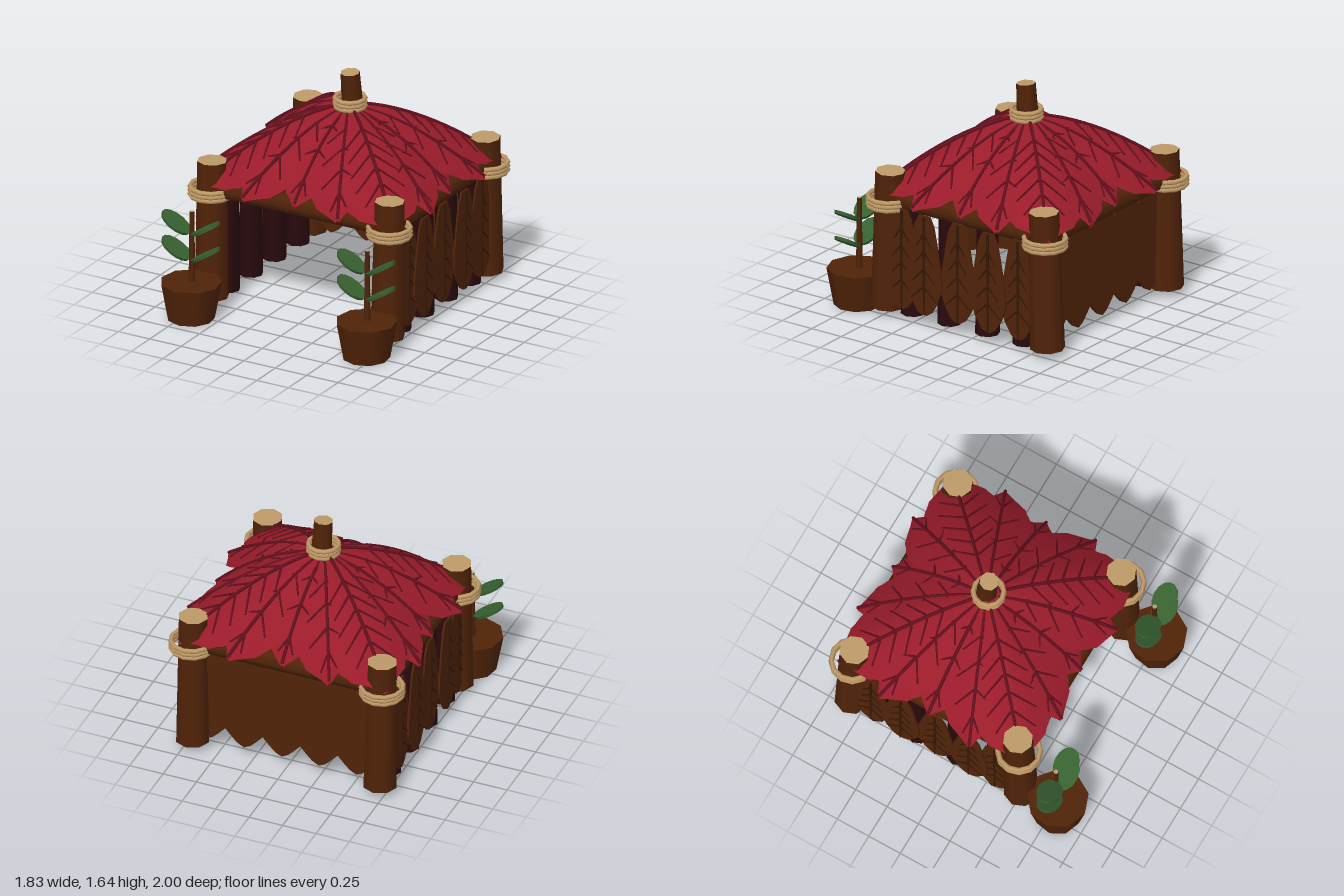
import * as THREE from 'three';

const mat = (name, color, side = THREE.FrontSide) => {
  const m = new THREE.MeshStandardMaterial({ color, side });
  m.name = name;
  return m;
};

export function createModel() {
  const brown = mat('brown wood', 0x502308);
  const dark = mat('dark wood', 0x28090c);
  const tan = mat('cut wood', 0xbd9a68);
  const rope = mat('rope', 0xc09a66);
  const red = mat('red leaf', 0x991b2a, THREE.DoubleSide);
  const redVein = mat('dark red vein', 0x620f1c);
  const brownVein = mat('brown vein', 0x371905);
  const green = mat('green leaf', 0x376030);

  const root = new THREE.Group();
  root.name = 'leafRoofHut';
  const CZ = -0.18; // depth of the hut's centre
  const V = (x, y, z) => new THREE.Vector3(x, y, z);

  const add = (name, geo, material, parent = root) => {
    const m = new THREE.Mesh(geo, material);
    m.name = name;
    parent.add(m);
    return m;
  };

  // tapered pole from a to b
  const pole = (name, a, b, r0, r1, material, sides = 8, parent = root) => {
    const d = b.clone().sub(a);
    const m = add(name, new THREE.CylinderGeometry(r1, r0, d.length(), sides), material, parent);
    m.position.copy(a).addScaledVector(d, 0.5);
    m.quaternion.setFromUnitVectors(V(0, 1, 0), d.normalize());
    return m;
  };

  // three stacked rope rings
  const binding = (name, x, y, z, R) => {
    const g = new THREE.Group();
    g.name = name;
    root.add(g);
    for (let i = -1; i <= 1; i++) {
      const m = add('ropeRing', new THREE.TorusGeometry(R, 0.017, 6, 12), rope, g);
      m.rotation.x = Math.PI / 2;
      m.position.set(x, y + i * 0.028, z);
    }
  };

  // corner posts with ropes
  const logMats = [brown, tan, tan];
  for (const x of [-0.7, 0.7]) {
    for (const [zb, zt] of [[0.495, 0.475], [-0.85, -0.825]]) {
      pole('cornerPost', V(x, 0.055, zb), V(x * 1.01, 1.06, zt), 0.122, 0.106, logMats);
      binding('postRope', x * 1.015, 0.842, (zb + zt) / 2, 0.147);
    }
    pole('sideBeam', V(x, 0.872, 0.47), V(x, 0.872, -0.83), 0.075, 0.075, brown);
  }
  for (const z of [0.48, -0.835]) pole('crossBeam', V(-0.7, 0.875, z), V(0.7, 0.875, z), 0.077, 0.075, brown);

  // leaning top pole
  pole('topPole', V(0.022, 1.25, -0.205), V(0.012, 1.635, -0.172), 0.08, 0.068, logMats);
  binding('topRope', 0.01, 1.415, -0.175, 0.106);

  // flat plate centred on its own plane
  const plate = (points, depth) => {
    const shape = new THREE.Shape(points.map(([x, y]) => new THREE.Vector2(x, y)));
    return new THREE.ExtrudeGeometry(shape, { depth, bevelEnabled: false }).translate(0, 0, -depth / 2);
  };

  // side walls: dark poles behind a row of veined leaves, rows give half widths from top to bottom
  const wallRows = [[0.045, 0.83], [0.08, 0.76], [0.1, 0.66], [0.125, 0.52], [0.146, 0.4], [0.147, 0.3], [0.11, 0.2], [0.06, 0.12], [0.02, 0.095]];
  const wallOutline = [...wallRows, ...wallRows.map(([w, y]) => [-w, y]).reverse()];
  for (const s of [-1, 1]) {
    const wall = new THREE.Group();
    wall.name = s < 0 ? 'rightWall' : 'leftWall';
    root.add(wall);
    for (const z of [0.3, -0.01, -0.33, -0.645]) {
      pole('wallPole', V(s * 0.683, 0.04, z), V(s * 0.683, 0.85, z), 0.086, 0.076, [dark, tan, tan], 8, wall);
    }
    [0.33, 0.13, -0.145, -0.41, -0.655].forEach((z, i) => {
      const x = s * (0.77 + (i % 2) * 0.014);
      const leaf = add('wallLeaf', plate(wallOutline, 0.014), brown, wall);
      leaf.rotation.y = s * Math.PI / 2;
      leaf.position.set(x, 0, z);
      const vx = x + s * 0.009;
      pole('wallMidrib', V(vx, 0.1, z), V(vx, 0.82, z), 0.007, 0.012, brownVein, 6, wall);
      for (let k = 0; k < 4; k++) {
        for (const side of [-1, 1]) {
          const y = 0.31 + k * 0.13;
          const w = 0.105 - k * 0.014;
          pole('wallVein', V(vx, y, z), V(vx, y - 0.1, z + side * w), 0.008, 0.005, brownVein, 5, wall);
        }
      }
    });
  }

  // back wall: one panel with notched top and scalloped bottom
  const backOutline = [];
  const scallop = [[-0.14, 0.2], [-0.09, 0.145], [-0.05, 0.105], [0, 0.078], [0.05, 0.105], [0.09, 0.145]];
  for (let i = 0; i < 5; i++) for (const [x, y] of scallop) backOutline.push([-0.52 + i * 0.28 + x, y]);
  backOutline.push([0.74, 0.2]);
  for (let i = 4; i >= 0; i--) {
    for (const [x, y] of [[0.14, 0.765], [0.09, 0.84], [-0.09, 0.84]]) backOutline.push([-0.52 + i * 0.28 + x, y]);
  }
  backOutline.push([-0.66, 0.765]);
  add('backWall', plate(backOutline, 0.024), brown).position.z = -0.83;

  // domed roof surface on a rounded square
  const roofY = (x, z) => {
    const r = (Math.abs(x / 0.87) ** 6 + Math.abs(z / 0.81) ** 6) ** (1 / 6);
    return 1.365 - 0.47 * r ** 1.62;
  };
  const widthAt = new THREE.CatmullRomCurve3(
    [[0, 0.2], [0.2, 0.5], [0.4, 0.85], [0.6, 1], [0.8, 0.86], [1, 0.04]].map(([s, w]) => V(s, w, 0)));

  const roofLeaf = (name, tx, tz, width, lift, droop, veins) => {
    const g = new THREE.Group();
    g.name = name;
    root.add(g);
    const L = Math.hypot(tx, tz);
    const at = (s, t, up = 0) => {
      const saw = 1 - 0.1 * ((s * 6) % 1);
      const w = t * width * saw * widthAt.getPoint(Math.min(s, 1)).y;
      const x = tx * s - (tz / L) * w;
      const z = tz * s + (tx / L) * w;
      return V(x, roofY(x, z) + lift + up - 0.022 * Math.abs(t) - droop * s ** 4, z + CZ);
    };
    const geo = new THREE.PlaneGeometry(2, 1, 4, 28);
    const p = geo.attributes.position;
    for (let i = 0; i < p.count; i++) {
      const q = at(p.getY(i) + 0.5, p.getX(i));
      p.setXYZ(i, q.x, q.y, q.z);
    }
    geo.computeVertexNormals();
    add('roofLeafBlade', geo, red, g);
    // midrib and side veins
    const pts = [];
    for (let i = 0; i <= 8; i++) pts.push(at(0.08 + i * 0.115, 0, 0.004));
    add('roofMidrib', new THREE.TubeGeometry(new THREE.CatmullRomCurve3(pts), 14, 0.012, 6), redVein, g);
    for (let k = 0; k < veins; k++) {
      const s = 0.3 + (k * 0.53) / (veins - 1);
      for (const side of [-1, 1]) {
        pole('roofVein', at(s, side * 0.05, 0.004), at(s + 0.09, side * 0.62, 0.006), 0.009, 0.006, redVein, 5, g);
      }
    }
  };

  for (const s of [-1, 1]) {
    roofLeaf('endRoofLeaf', 0, s * 0.75, 0.24, 0.0, 0.035, 3);
    roofLeaf('sideRoofLeaf', s * 0.81, 0, 0.23, 0.0, 0.035, 3);
    for (const k of [-1, 1]) {
      roofLeaf('endCornerLeaf', s * 0.38, k * 0.81, 0.235, 0.01, 0, 4);
      roofLeaf('sideCornerLeaf', s * 0.87, k * 0.36, 0.235, 0.01, 0, 4);
      roofLeaf('hipLeaf', s * 0.78, k * 0.73, 0.3, 0.03, 0.03, 6);
    }
  }

  // potted plants
  for (const [x, z] of [[-0.695, 0.785], [0.69, 0.765]]) {
    const plant = new THREE.Group();
    plant.name = 'pottedPlant';
    plant.position.set(x, 0, z);
    root.add(plant);
    add('pot', new THREE.CylinderGeometry(0.215, 0.165, 0.27, 9), brown, plant).position.y = 0.135;
    pole('stem', V(0, 0.25, -0.015), V(0, 0.79, -0.015), 0.024, 0.017, logMats, 7, plant);
    for (const y of [0.425, 0.618]) {
      for (const s of [-1, 1]) {
        const geo = new THREE.CylinderGeometry(1, 0.95, 0.022, 14).scale(0.125, 1, 0.086);
        const leaf = add('plantLeaf', geo, green, plant);
        leaf.position.set(s * 0.118, y + 0.068, 0);
        leaf.rotation.z = s * 0.54;
      }
    }
  }
  return root;
}
